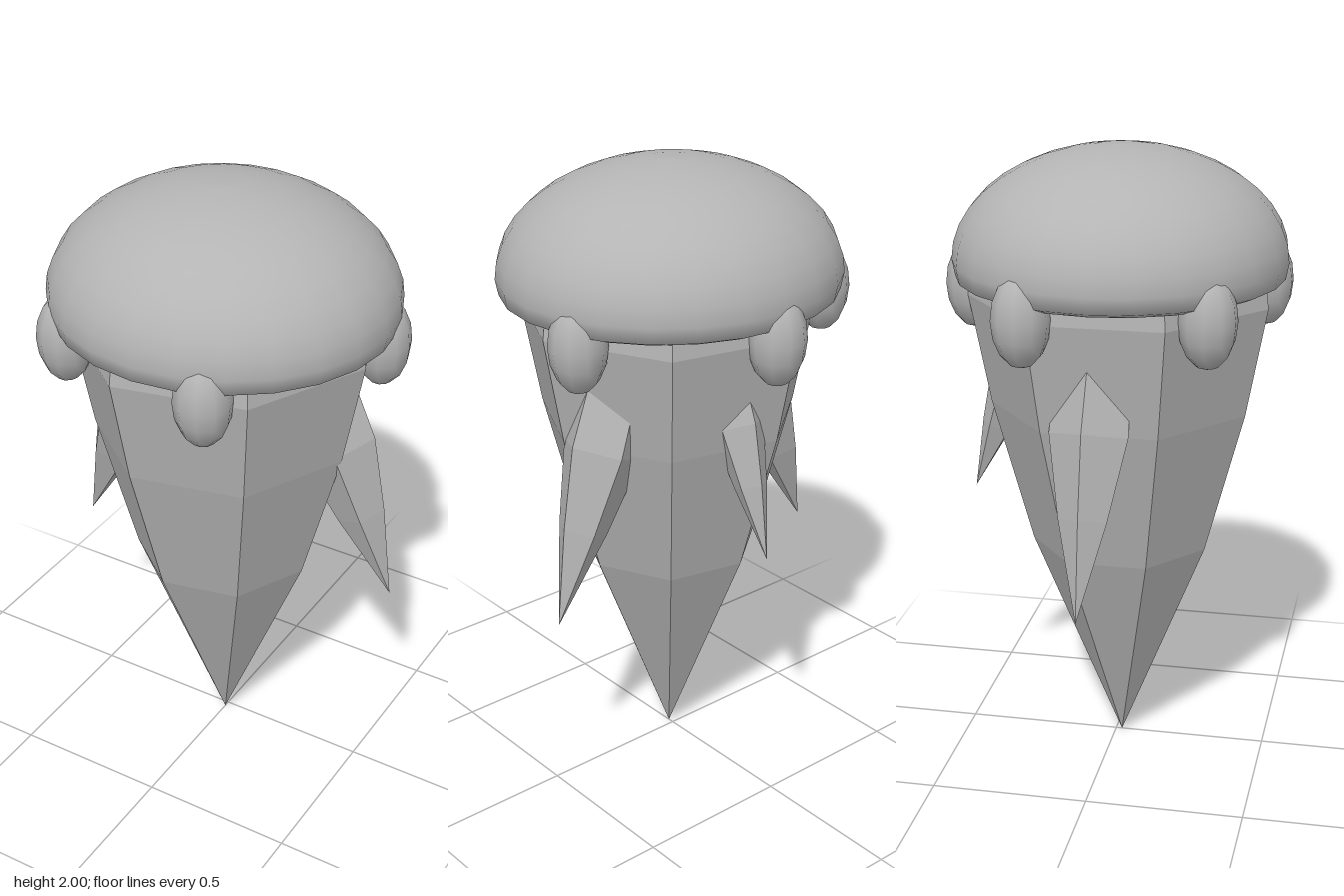
import * as THREE from 'three';

const stone = new THREE.MeshStandardMaterial({ color: 0xb4b4b4 });
stone.name = 'stone grey';

// Revolved profile; faceted parts get one normal per face
function turned(points, sides, phase = 0, faceted = true) {
  const lathe = new THREE.LatheGeometry(points.map(([r, y]) => new THREE.Vector2(r, y)), sides, phase);
  if (!faceted) return lathe;
  const flat = lathe.toNonIndexed();
  flat.computeVertexNormals();
  return flat;
}

function addPart(group, name, geometry, x = 0, y = 0, z = 0) {
  const mesh = new THREE.Mesh(geometry, stone);
  mesh.name = name;
  mesh.position.set(x, y, z);
  group.add(mesh);
  return mesh;
}

export function createModel() {
  const model = new THREE.Group();
  model.name = 'spikedTop';

  // Seven-sided tapering body, pointed at the bottom
  const bodyProfile = [[0, 0], [0.29, 0.71], [0.418, 1.18], [0.485, 1.53], [0.475, 1.61], [0, 1.7]];
  addPart(model, 'body', turned(bodyProfile, 7, Math.PI / 2), 0, 0, 0.02);

  // Smooth domed cap with a tucked-in underside
  const capProfile = [[0, 1.6], [0.4, 1.585], [0.5, 1.583], [0.54, 1.6]];
  for (let i = 0; i <= 10; i++) {
    const a = (i / 10) * Math.PI / 2;
    capProfile.push([0.55 * Math.cos(a), 1.65 + 0.35 * Math.sin(a)]);
  }
  const cap = addPart(model, 'cap', turned(capProfile, 24, 0, false), -0.004, 0, 0.016);
  cap.scale.z = 0.955;

  // Egg-shaped studs under the rim
  const stud = new THREE.SphereGeometry(1, 10, 8);
  const studs = [[0.185, 0.45], [0.465, -0.125], [-0.02, -0.455], [-0.455, -0.195], [-0.365, 0.345]];
  for (const [x, z] of studs) {
    addPart(model, 'rimStud', stud, x, 1.55, z).scale.set(0.09, 0.145, 0.09);
  }

  // Five-sided thorns: tip, point the axis runs to inside the body, width, shoulder length
  const thorns = [
    ['leftThorn', [0.55, 0.64, -0.105], [0.26, 1.42, -0.07], 0.13, 0.57],
    ['rightThorn', [-0.56, 0.64, -0.015], [-0.27, 1.42, 0], 0.13, 0.57],
    ['backThorn', [0.025, 0.845, -0.48], [0.02, 1.42, -0.27], 0.087, 0.43],
  ];
  for (const [name, tip, root, radius, shoulder] of thorns) {
    const axis = new THREE.Vector3(...root).sub(new THREE.Vector3(...tip));
    const length = axis.length();
    const profile = [[0, 0], [radius * 0.62, shoulder * 0.55], [radius, shoulder], [radius * 0.95, length * 0.92], [0, length]];
    const outward = Math.atan2(-axis.x, -axis.z);
    const thorn = addPart(model, name, turned(profile, 5, outward), ...tip);
    thorn.quaternion.setFromUnitVectors(new THREE.Vector3(0, 1, 0), axis.normalize());
  }

  return model;
}
